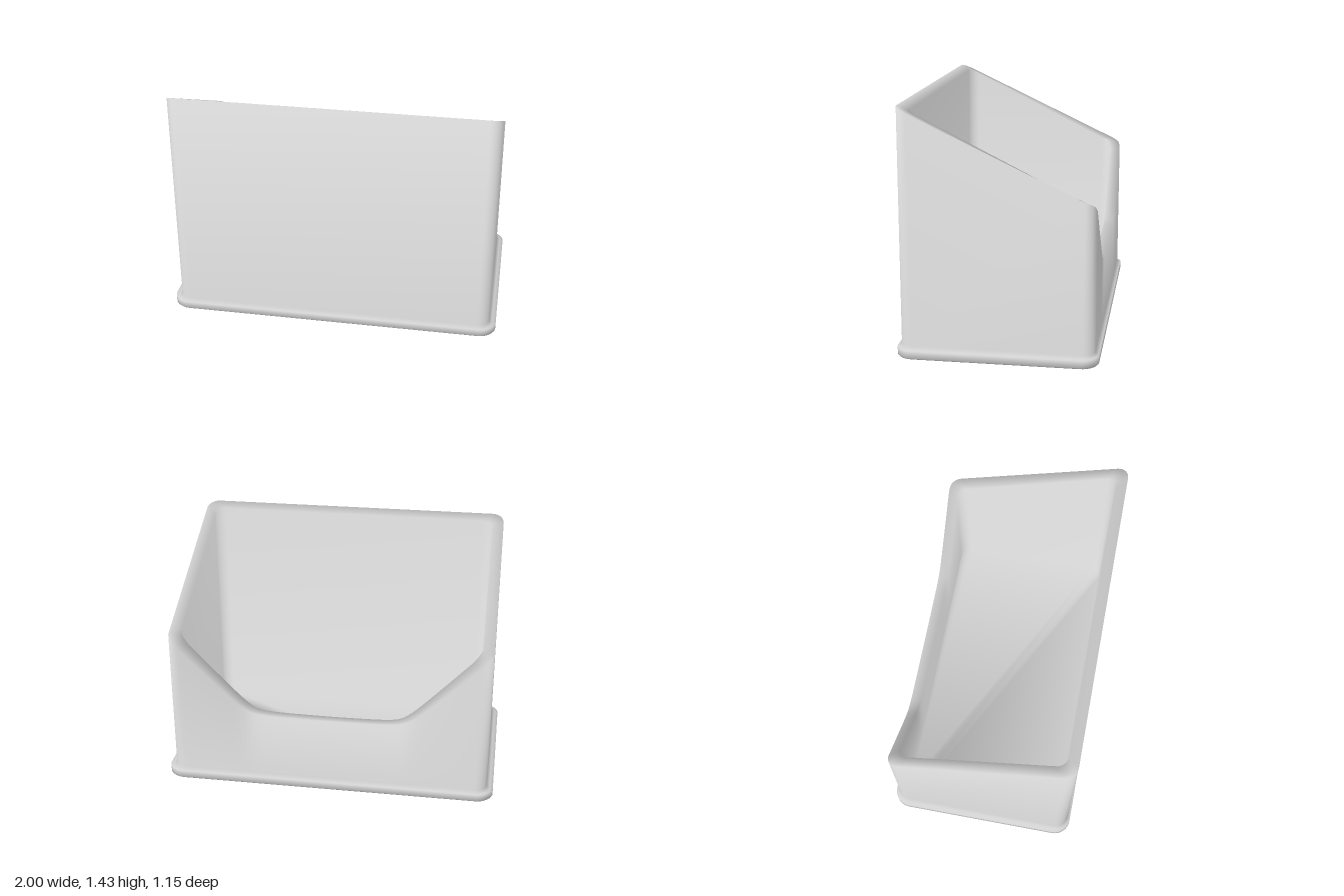
import * as THREE from 'three';

const ARC = 8, BACK_EDGE = 60;

// Rounded rectangle outline; the back edge is divided finely for the cutout
function outline(hx, hz, r) {
  const signs = [[1, 1], [-1, 1], [-1, -1], [1, -1]];
  const pts = [];
  signs.forEach(([sx, sz], k) => {
    for (let i = 0; i <= ARC; i++) {
      const a = (k + i / ARC) * Math.PI / 2;
      pts.push([sx * (hx - r) + r * Math.cos(a), sz * (hz - r) + r * Math.sin(a)]);
    }
    if (k === 2) {
      for (let i = 1; i < BACK_EDGE; i++) pts.push([(hx - r) * (2 * i / BACK_EDGE - 1), -hz]);
    }
  });
  return pts;
}

// Index in an outline of point i on corner k
const cornerIndex = (k, i) => k * (ARC + 1) + i + (k === 3 ? BACK_EDGE - 1 : 0);

// A ring of 3D points at height y (a number, or a function of the point index)
function ring(hx, hz, r, y) {
  return outline(hx, hz, r).map(([x, z], i) =>
    new THREE.Vector3(x, typeof y === 'function' ? y(i, z) : y, z));
}

// Smooth normals over the whole closed profile, every face counting equally
function smoothNormals(rings) {
  const n = rings[0].length;
  const bands = rings.slice(1).map((up, j) => up.map((c, i) => {
    const k = (i + 1) % n;
    return up[k].clone().sub(rings[j][i]).cross(rings[j][k].clone().sub(c)).normalize();
  }));
  const below = rings[0].map(() => new THREE.Vector3(0, -1, 0));
  const above = rings[0].map(() => new THREE.Vector3(0, 1, 0));
  const all = [below, ...bands, above];
  return rings.map((r, j) => r.map((_, i) => {
    const h = (i + n - 1) % n;
    return new THREE.Vector3().add(all[j][i]).add(all[j][h])
      .add(all[j + 1][i]).add(all[j + 1][h]).normalize();
  }));
}

function makeMesh(name, points, normals, index, material) {
  const flat = (vs) => new THREE.Float32BufferAttribute(vs.flatMap((v) => v.toArray()), 3);
  const g = new THREE.BufferGeometry();
  g.setAttribute('position', flat(points));
  g.setAttribute('normal', flat(normals));
  g.setIndex(index);
  const mesh = new THREE.Mesh(g, material);
  mesh.name = name;
  return mesh;
}

// Triangles joining successive rings
function skinIndex(count, n) {
  const index = [];
  for (let j = 0; j < count - 1; j++) {
    for (let i = 0; i < n; i++) {
      const a = j * n + i, b = j * n + (i + 1) % n;
      index.push(a, a + n, b, b, a + n, b + n);
    }
  }
  return index;
}

// Triangles filling an outline, split along its diagonal
function capIndex(facingUp) {
  const index = [];
  const arc = (k) => Array.from({ length: ARC + 1 }, (_, i) => cornerIndex(k, i));
  const fan = (origin, rest) => {
    for (let i = 0; i < rest.length - 1; i++) {
      index.push(origin, ...(facingUp ? [rest[i + 1], rest[i]] : [rest[i], rest[i + 1]]));
    }
  };
  fan(cornerIndex(2, ARC), [...arc(3), cornerIndex(0, 0)]);
  fan(cornerIndex(0, 0), arc(2));
  fan(cornerIndex(2, 0), [...arc(0), ...arc(1)]);
  return index;
}

export function createModel() {
  const group = new THREE.Group();
  group.name = 'cardHolder';
  const grey = new THREE.MeshStandardMaterial({ color: 0xd0d0d0 });
  grey.name = 'light grey';

  const W = 0.96, D = 0.555, R = 0.07;      // outer wall
  const IW = 0.893, ID = 0.493, IR = 0.06;  // inner wall
  const BW = 1, BD = 0.577, BR = 0.1;       // base plate
  const foot = 0.018, bevel = 0.008, baseY = 0.05;
  const outer = outline(W, D, R);

  // Sloping top edge, with a wide rounded trapezoid cutout in the back wall
  const top = (i, z) => {
    const slope = 1.17 + 0.47 * z;
    const [ox, oz] = outer[i];
    if (oz > -D + R + 0.001) return slope;
    const d = Math.abs(ox) - 0.48;
    return Math.min(slope, 0.46 + (d + Math.sqrt(d * d + 0.004)) / 2);
  };

  // Profile from the underside, up the outside, over the rim and down to the floor
  const rings = [
    ring(BW - bevel, BD - bevel, BR - bevel, 0),
    ring(BW, BD, BR, bevel),
    ring(BW, BD, BR, baseY),
    ring(W + foot, D + foot, R + foot, baseY),
    ring(W, D, R, baseY + foot),
    ring(W, D, R, top),
    ring(IW, ID, IR, top),
    ring(IW, ID, IR, baseY),
  ];
  const normals = smoothNormals(rings);

  // Base, walls and rim
  const parts = [['basePlate', 0, 3], ['outerWall', 3, 5], ['rim', 5, 6], ['innerWall', 6, 7]];
  for (const [name, from, to] of parts) {
    const points = rings.slice(from, to + 1);
    group.add(makeMesh(name, points.flat(), normals.slice(from, to + 1).flat(),
      skinIndex(points.length, outer.length), grey));
  }

  // Flat underside and floor
  group.add(makeMesh('underside', rings[0], normals[0], capIndex(false), grey));
  group.add(makeMesh('floor', rings[7], normals[7], capIndex(true), grey));

  return group;
}
